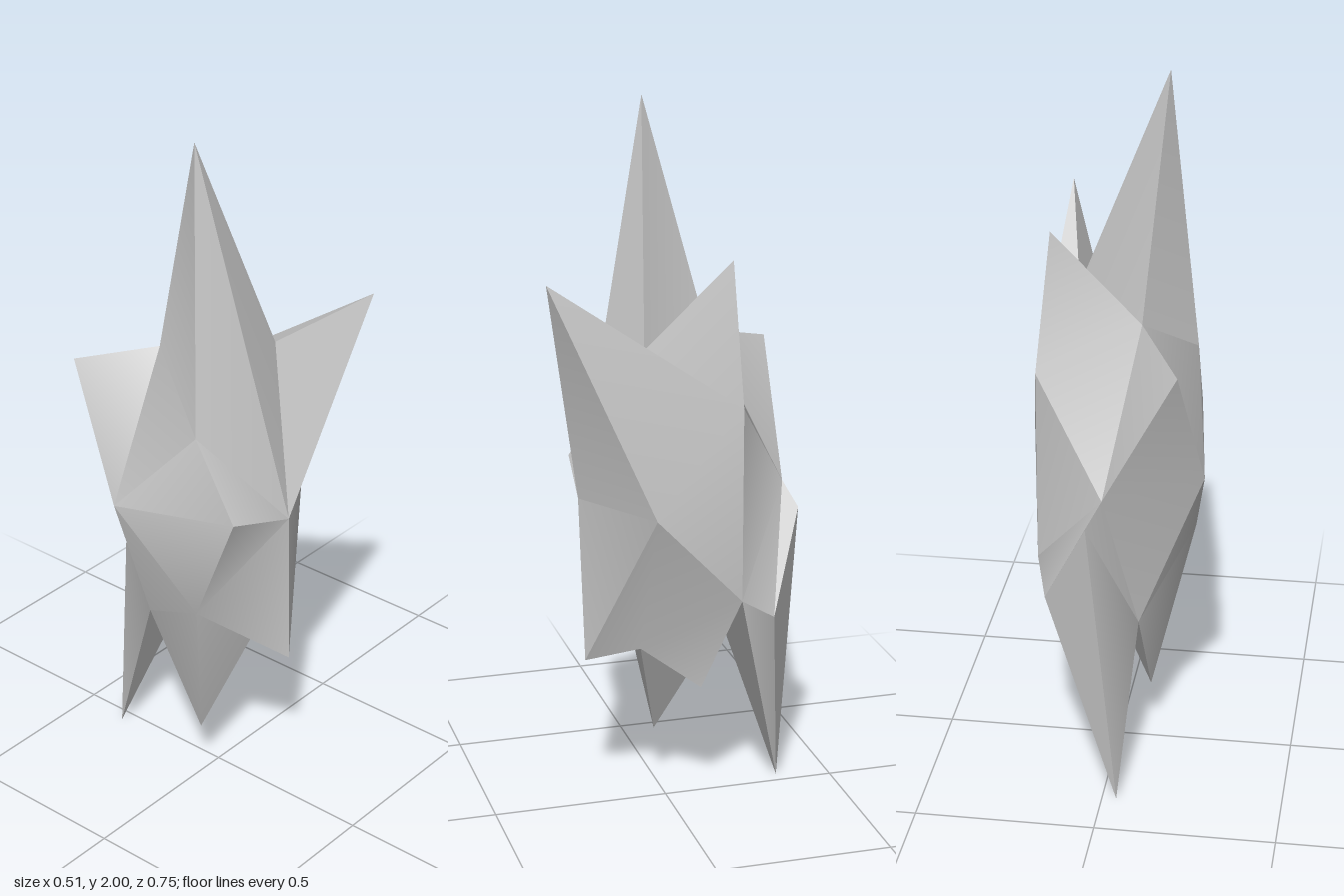
import * as THREE from 'three';
import { toCreasedNormals } from 'three/addons/utils/BufferGeometryUtils.js';

// Corners of a tall twenty-sided core, with its poles at the front and back
const P = {
  front: [0, 0.92, 0.25], back: [0, 0.92, -0.34],
  // front ring, counter-clockwise from +x
  f0: [0.255, 0.92, 0.095], f1: [0.125, 1.36, 0.095], f2: [-0.206, 1.2, 0.095],
  f3: [-0.206, 0.65, 0.095], f4: [0.079, 0.49, 0.095],
  // back ring, offset by half a step
  b0: [0.206, 1.2, -0.16], b1: [-0.08, 1.35, -0.14], b2: [-0.255, 0.92, -0.16],
  b3: [-0.08, 0.48, -0.19], b4: [0.206, 0.65, -0.16],
};

// Spikes: a tip over a loop of core corners
const spikes = [
  { tip: [-0.13, 2.0, 0.03], loop: ['front', 'f1', 'b1', 'f2'] },
  { tip: [0.185, 1.57, 0.375], loop: ['front', 'f0', 'b0', 'f1'] },
  { tip: [-0.205, 0.98, 0.225], loop: ['front', 'f2', 'b2', 'f3'] },
  { tip: [0.023, 0.45, 0.24], loop: ['front', 'f3', 'f4', 'f0'] },
  { tip: [0.165, 1.6, -0.14], loop: ['f1', 'b0', 'b1'] },
  { tip: [-0.2, 1.29, -0.347], loop: ['back', 'b2', 'b1'] },
  { tip: [-0.09, 0.17, 0.01], loop: ['f4', 'f3', 'b3'] },
  { tip: [0.115, 0.37, -0.07], loop: ['f4', 'b3', 'b4'] },
];

// Core faces left plain
const plain = [
  ['f2', 'b1', 'b2'], ['f3', 'b2', 'b3'], ['f0', 'f4', 'b4'], ['f0', 'b4', 'b0'],
  ['back', 'b1', 'b0'], ['back', 'b3', 'b2'], ['back', 'b0', 'b4'],
];

// One rear face is drawn out into a long slanted shard
const shardBase = ['back', 'b4', 'b3'];
const shardEnd = [[0.04, 0.85, -0.375], [0.17, 0.58, -0.265], [-0.04, 0, -0.348]];

export function createModel() {
  const positions = [];
  const tri = (a, b, c) => positions.push(...a, ...b, ...c);

  for (const [a, b, c] of plain) tri(P[a], P[b], P[c]);

  for (const { tip, loop } of spikes) {
    loop.forEach((name, i) => tri(P[name], P[loop[(i + 1) % loop.length]], tip));
  }

  shardBase.forEach((name, i) => {
    const j = (i + 1) % 3;
    tri(P[name], P[shardBase[j]], shardEnd[j]);
    tri(P[name], shardEnd[j], shardEnd[i]);
  });
  tri(...shardEnd);

  const geometry = new THREE.BufferGeometry();
  geometry.setAttribute('position', new THREE.Float32BufferAttribute(positions, 3));

  const crystal = new THREE.Mesh(
    toCreasedNormals(geometry, Math.PI / 6),
    new THREE.MeshStandardMaterial({ color: 0xcccccc })
  );
  crystal.name = 'spikedCrystal';

  const group = new THREE.Group();
  group.name = 'crystal';
  group.add(crystal);
  return group;
}
